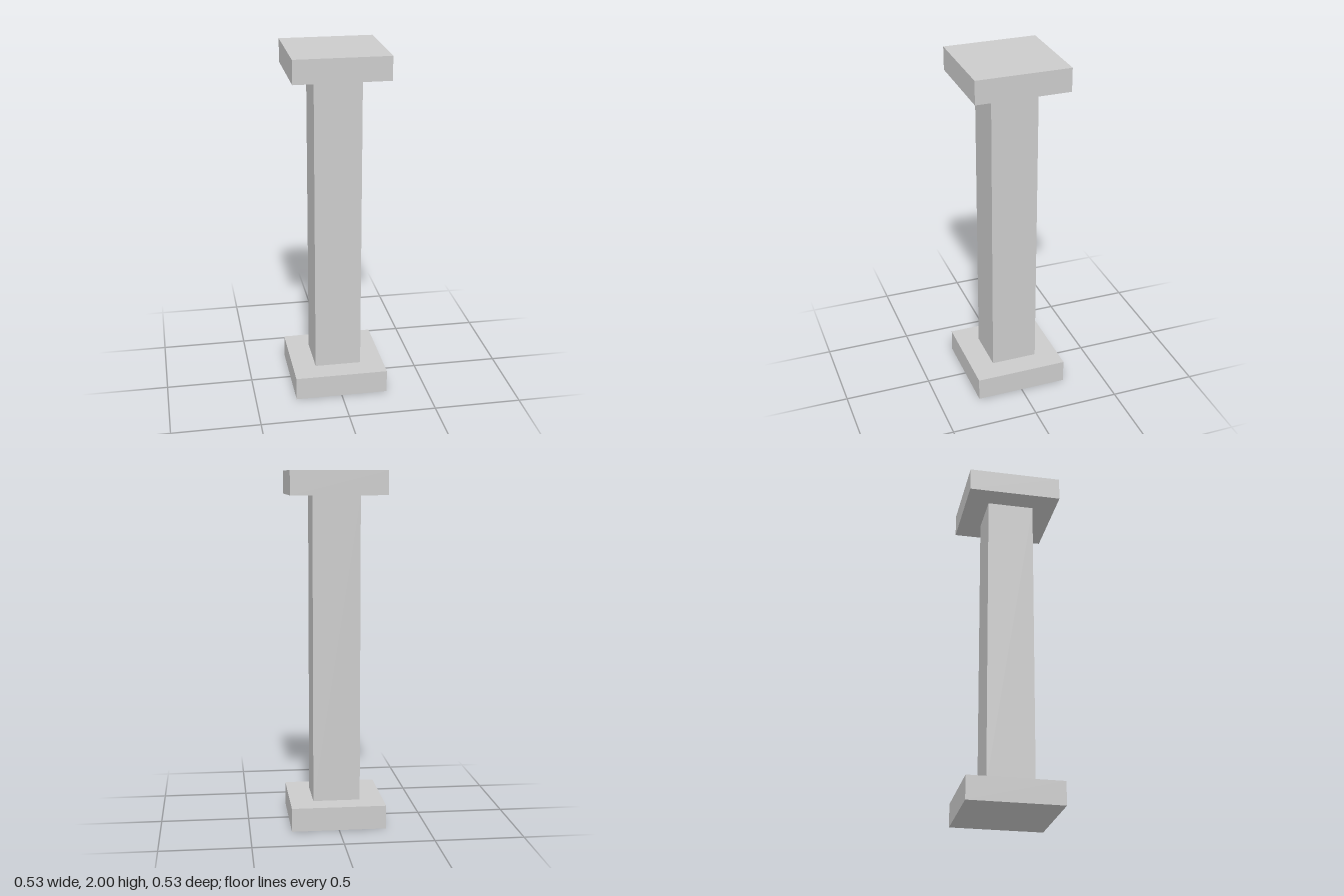
import * as THREE from 'three';

const HEIGHT = 2;
const SLAB_WIDTH = 0.533;
const SLAB_HEIGHT = 0.133;
const SHAFT_WIDTH = 0.267;

export function createModel() {
  const group = new THREE.Group();
  group.name = 'pillar';
  const material = new THREE.MeshStandardMaterial({ color: 0xcccccc, flatShading: true });

  // Square block standing on the given height
  const addBlock = (name, width, height, bottom) => {
    const mesh = new THREE.Mesh(new THREE.BoxGeometry(width, height, width), material);
    mesh.name = name;
    mesh.position.y = bottom + height / 2;
    group.add(mesh);
  };

  addBlock('base', SLAB_WIDTH, SLAB_HEIGHT, 0);
  addBlock('shaft', SHAFT_WIDTH, HEIGHT - 2 * SLAB_HEIGHT, SLAB_HEIGHT);
  addBlock('capital', SLAB_WIDTH, SLAB_HEIGHT, HEIGHT - SLAB_HEIGHT);

  return group;
}
